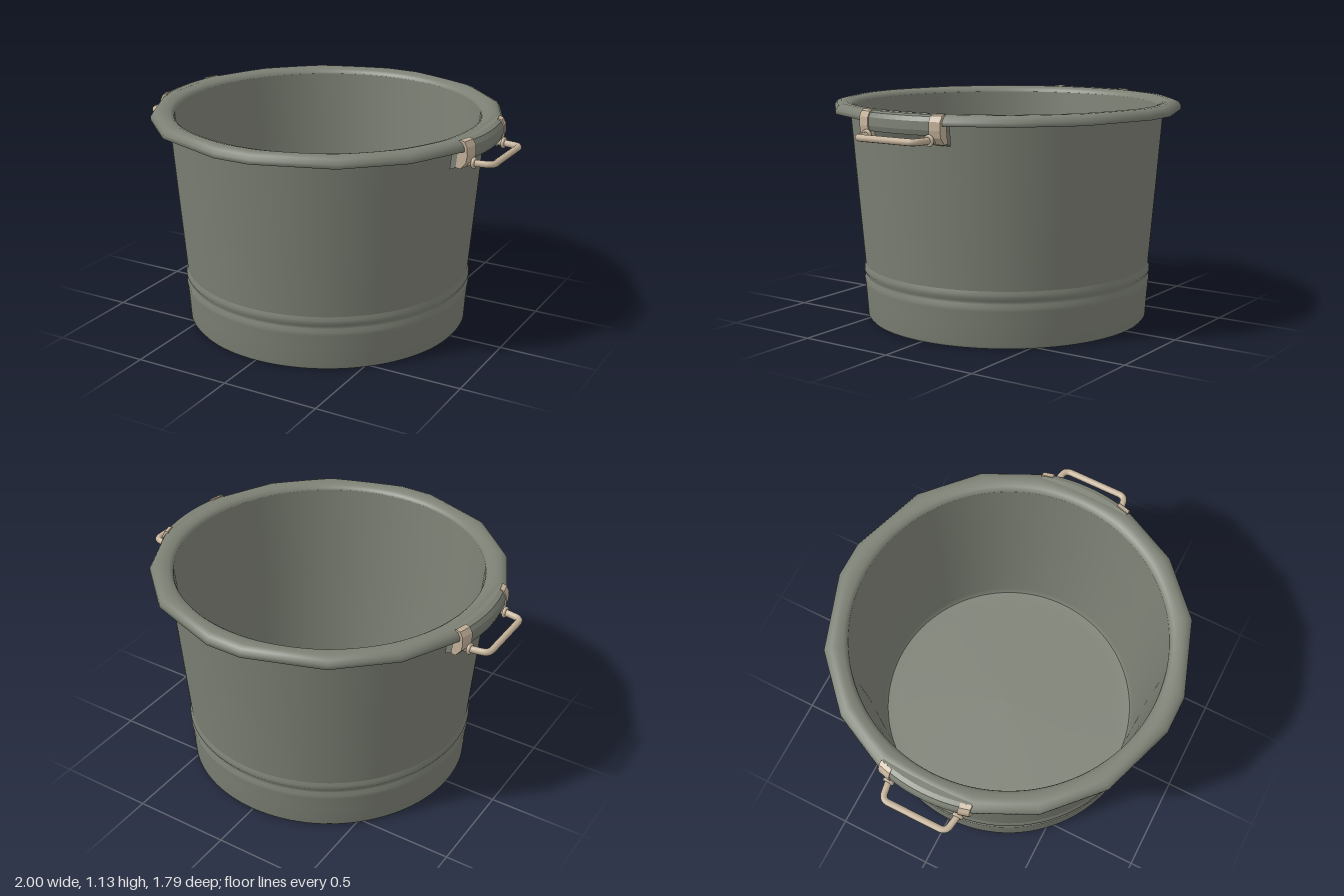
import * as THREE from 'three';

const V2 = (p) => new THREE.Vector2(p[0], p[1]);
const V3 = (p) => new THREE.Vector3(...p);

// Radius of the hand-cut rim outline: 16 corners joined by straight chords.
const quarter = [6, 32, 54, 74];
const corners = [...quarter, ...quarter.map((a) => 180 - a).reverse()];
const allCorners = [...corners, ...corners.map((a) => a + 180)];
function rimRadius(phi) {
  const deg = ((phi * 180 / Math.PI) % 360 + 360) % 360;
  let a = allCorners[15] - 360, b = allCorners[0] + 360;
  for (const c of allCorners) {
    if (c <= deg + 1e-6) a = c;
  }
  for (const c of [...allCorners].reverse()) {
    if (c > deg + 1e-6) b = c;
  }
  const half = (b - a) / 2 * Math.PI / 180;
  return 0.9 * Math.cos(half) / Math.cos((deg - (a + b) / 2) * Math.PI / 180);
}

// Profile cut across the z axis, bowed inwards towards its ends.
function bowedExtrude(profile, z0, z1) {
  const g = new THREE.ExtrudeGeometry(new THREE.Shape(profile.map(V2)), {
    depth: z1 - z0, steps: 12, bevelEnabled: false,
  });
  g.translate(0, 0, z0);
  const p = g.attributes.position;
  for (let i = 0; i < p.count; i++) {
    const z = p.getZ(i);
    p.setX(i, p.getX(i) - 0.6 * z * z * THREE.MathUtils.smoothstep(p.getX(i), 0.79, 0.88));
  }
  g.computeVertexNormals();
  return g;
}

export function createModel() {
  const model = new THREE.Group();
  model.name = 'bucket';
  const paint = new THREE.MeshStandardMaterial({ color: 0x7c8074 });
  paint.name = 'greyGreenPaint';
  const metal = new THREE.MeshStandardMaterial({ color: 0xc4b29a });
  metal.name = 'beigeMetal';

  const add = (parent, name, geometry, material) => {
    const mesh = new THREE.Mesh(geometry, material);
    mesh.name = name;
    parent.add(mesh);
    return mesh;
  };
  const lathe = (points) => new THREE.LatheGeometry(points.map(V2), 180);

  // Base, outer wall with grooved band, inner wall and floor
  add(model, 'base', lathe([[0, 0.004], [0.7, 0.004], [0.725, 0]]), paint);
  add(model, 'lowerBand', lathe([
    [0.725, 0], [0.733, 0.012], [0.74, 0.12], [0.746, 0.185], [0.748, 0.205],
    [0.739, 0.22], [0.74, 0.235], [0.75, 0.25], [0.748, 0.268], [0.743, 0.285],
  ]), paint);
  add(model, 'outerWall', lathe([[0.743, 0.285], [0.775, 0.68], [0.808, 1.1]]), paint);
  add(model, 'innerWall', lathe([[0.78, 1.1], [0.735, 0.6], [0.695, 0.09], [0.68, 0.06]]), paint);
  add(model, 'floor', lathe([[0.68, 0.06], [0.6, 0.055], [0, 0.055]]), paint);

  // Rolled rim with a faceted outline and a hollow underside
  const rim = lathe([
    [0.8, 1.095], [0.87, 1.095], [0.886, 1.08], [0.9, 1.08], [0.898, 1.1],
    [0.885, 1.12], [0.86, 1.13], [0.83, 1.131], [0.8, 1.123], [0.785, 1.112], [0.78, 1.1],
  ]);
  const p = rim.attributes.position;
  for (let i = 0; i < p.count; i++) {
    const x = p.getX(i), z = p.getZ(i);
    const t = THREE.MathUtils.clamp((Math.hypot(x, z) - 0.79) / 0.1, 0, 1);
    const s = 1 + t * (rimRadius(Math.atan2(x, z)) / 0.9 - 1);
    p.setX(i, x * s);
    p.setZ(i, z * s);
  }
  add(model, 'rim', rim, paint);

  // Handle assemblies, turned half a circle for the other side
  const lugProfile = [
    [0.79, 0.98], [0.825, 0.99], [0.85, 1.005], [0.865, 1.03], [0.9, 1.035],
    [0.908, 1.06], [0.906, 1.1], [0.893, 1.122], [0.87, 1.13], [0.81, 1.125],
  ];
  const clipProfile = [
    [0.845, 0.995], [0.88, 0.992], [0.908, 1.025], [0.914, 1.06], [0.912, 1.1],
    [0.898, 1.127], [0.875, 1.134], [0.87, 1.12],
  ];
  for (const side of [1, -1]) {
    const handle = new THREE.Group();
    handle.name = side > 0 ? 'leftHandle' : 'rightHandle';
    handle.rotation.y = side > 0 ? 0 : Math.PI;
    model.add(handle);

    add(handle, 'lug', bowedExtrude(lugProfile, -0.235, 0.235), paint);

    // Clips, with a small eye holding each end of the bail
    for (const end of [1, -1]) {
      const [a, b] = end > 0 ? [0.175, 0.24] : [-0.24, -0.185];
      add(handle, 'clip', bowedExtrude(clipProfile, a, b), metal);
      const eye = add(handle, 'eye', new THREE.TorusGeometry(0.02, 0.009, 8, 20), metal);
      eye.rotation.y = Math.PI / 2;
      eye.position.set(0.892, 1.014, end * 0.185);
    }

    // Wire bail: straight runs with rounded corners
    const y = 1.013;
    const path = new THREE.CurvePath();
    const line = (m, n) => path.add(new THREE.LineCurve3(V3(m), V3(n)));
    const bend = (m, c, n) => path.add(new THREE.QuadraticBezierCurve3(V3(m), V3(c), V3(n)));
    line([0.86, y, 0.19], [0.95, y, 0.175]);
    bend([0.95, y, 0.175], [0.983, y, 0.17], [0.983, y, 0.135]);
    line([0.983, y, 0.135], [0.983, y, -0.135]);
    bend([0.983, y, -0.135], [0.983, y, -0.17], [0.95, y, -0.175]);
    line([0.95, y, -0.175], [0.86, y, -0.19]);
    add(handle, 'bail', new THREE.TubeGeometry(path, 64, 0.017, 10), metal);
  }
  return model;
}
